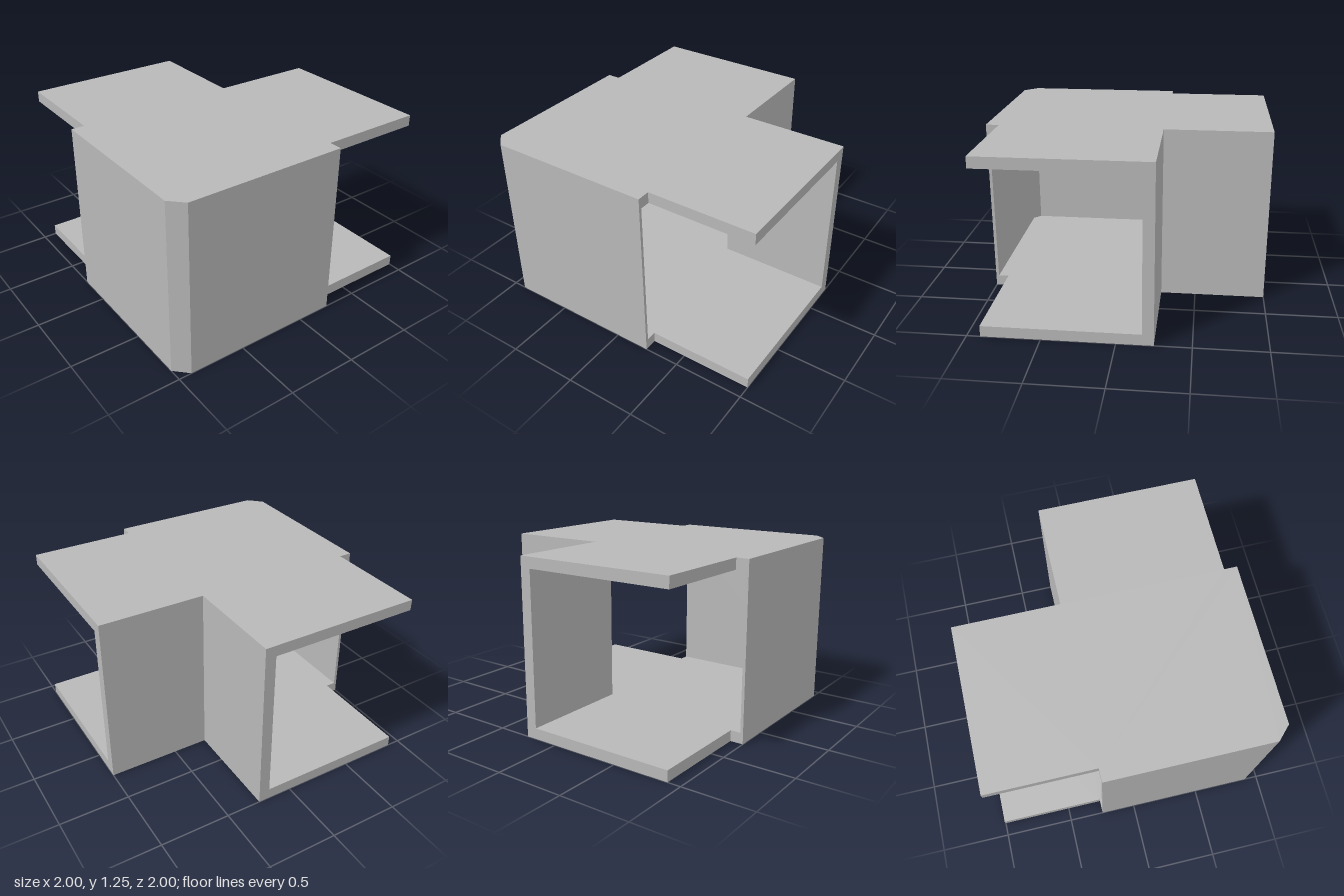
import * as THREE from 'three';

const HEIGHT = 1.25, SLAB = 0.078;
const OUT = 0.907;  // recessed slab edge and chamfer start
const IN = 0.25;    // outside of the inner corner
const SKIN = 0.979; // inside of the thin outer wall
const JAMB = 0.172; // inside of the thick inner wall

// Extrude a plan outline given as [x, z] points between two heights
function prism(name, plan, y0, y1, material) {
  const shape = new THREE.Shape(plan.map(([x, z]) => new THREE.Vector2(x, -z)));
  const geometry = new THREE.ExtrudeGeometry(shape, { depth: y1 - y0, bevelEnabled: false });
  geometry.rotateX(-Math.PI / 2);
  geometry.translate(0, y0, 0);
  const mesh = new THREE.Mesh(geometry, material);
  mesh.name = name;
  return mesh;
}

export function createModel() {
  const grey = new THREE.MeshStandardMaterial({ color: 0xb8b8b8 });
  grey.name = 'plain grey';
  const group = new THREE.Group();
  group.name = 'cornerDuct';

  // Floor and ceiling share one corner-shaped plan with a chamfer
  const slab = [
    [-OUT, -1], [IN, -1], [IN, -IN], [1, -IN], [1, OUT], [IN, OUT],
    [IN, 1], [-OUT, 1], [-1, OUT], [-1, -IN], [-OUT, -IN],
  ];
  group.add(prism('floor', slab, 0, SLAB, grey));
  group.add(prism('ceiling', slab, HEIGHT - SLAB, HEIGHT, grey));

  // Thick wall around the inner corner
  const innerWall = [[IN, -1], [IN, -IN], [1, -IN], [1, -JAMB], [JAMB, -JAMB], [JAMB, -1]];
  group.add(prism('innerWall', innerWall, SLAB, HEIGHT - SLAB, grey));

  // Thin wall around the chamfered outer corner
  const outerWall = [
    [-1, -IN], [-SKIN, -IN], [-SKIN, 0.926], [-0.926, SKIN], [IN, SKIN],
    [IN, 1], [-OUT, 1], [-1, OUT],
  ];
  group.add(prism('outerWall', outerWall, SLAB, HEIGHT - SLAB, grey));

  return group;
}
